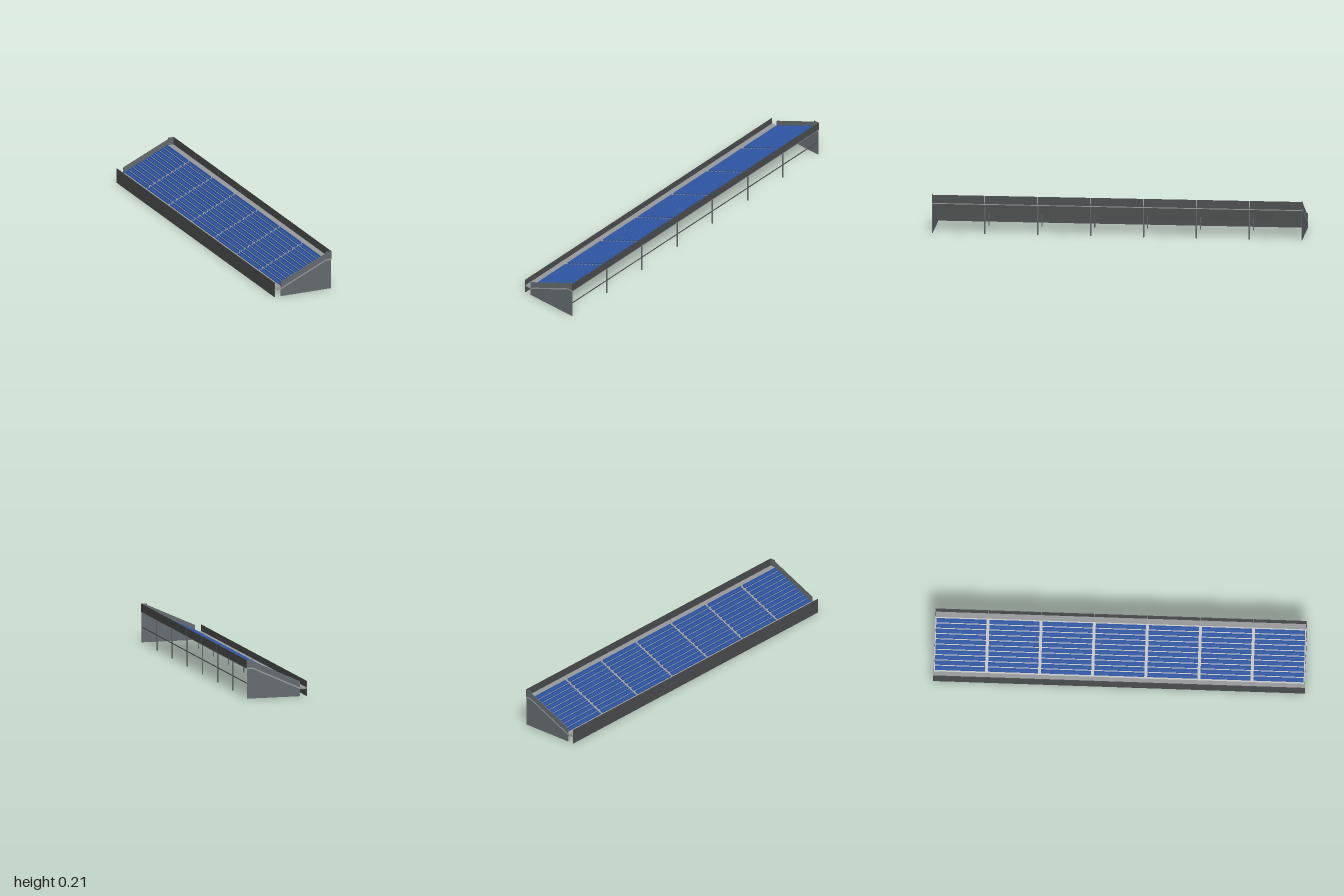
import * as THREE from 'three';

export function createModel() {
  const mat = (name, color) => {
    const m = new THREE.MeshStandardMaterial({ color });
    m.name = name;
    return m;
  };
  const concrete = mat('concrete grey', 0x98999a);
  const wallGrey = mat('dark wall grey', 0x4b4d4e);
  const panelGrey = mat('slate panel grey', 0x646a6e);
  const seatBlue = mat('seat blue', 0x2f57a6);

  const root = new THREE.Group();
  root.name = 'grandstand';
  const stand = new THREE.Group();
  stand.name = 'stand';
  stand.rotation.y = -0.061; // the stand is turned slightly in plan
  root.add(stand);

  const L = 1.982, HALF_W = 0.167, BLOCKS = 7, PITCH = L / BLOCKS;
  const SLOPE = 0.121 / 0.265, LOW = -0.13, HIGH = 0.135;

  const add = (name, geo, material, x = 0, y = 0, z = 0) => {
    const m = new THREE.Mesh(geo, material);
    m.name = name;
    m.position.set(x, y, z);
    stand.add(m);
    return m;
  };
  const box = (name, material, w, h, d, x, y, z) =>
    add(name, new THREE.BoxGeometry(w, h, d), material, x, y, z);
  // extrude a cross-section along the stand, centred on z
  const prism = (points, depth) => {
    const shape = new THREE.Shape(points.map(p => new THREE.Vector2(p[0], p[1])));
    return new THREE.ExtrudeGeometry(shape, { depth, bevelEnabled: false }).translate(0, 0, -depth / 2);
  };

  // sloping deck with a flat walkway at the bottom and top
  add('deck', prism([
    [-HALF_W, 0.039], [LOW, 0.039], [HIGH, 0.16], [HALF_W, 0.16],
    [HALF_W, 0.168], [HIGH, 0.168], [LOW, 0.047], [-HALF_W, 0.047],
  ], L), concrete);

  // end panels, just inside the deck ends
  const panel = prism([
    [LOW, 0], [0.165, 0], [0.165, 0.209], [HIGH, 0.209], [HIGH, 0.201], [LOW, 0.081],
  ], 0.003);
  for (const s of [-1, 1]) add('endPanel', panel, panelGrey, 0, 0, s * (L / 2 - 0.0022));

  // low front wall
  box('frontWall', wallGrey, 0.003, 0.081, L, -HALF_W + 0.0005, 0.0405, 0);

  // rear parapet, one panel per seating block with narrow joints
  for (let b = 0; b < BLOCKS; b++) {
    const z = (b - (BLOCKS - 1) / 2) * PITCH;
    box('rearParapet', wallGrey, 0.003, 0.044, PITCH - 0.003, HALF_W - 0.0005, 0.187, z);
  }

  // seat rows: a pad with a short backrest, repeated in every block
  const ROWS = 10, STEP = (HIGH - LOW - 0.008) / ROWS;
  const bench = prism([
    [0, 0], [0.018, 0], [0.02, 0.013], [0.0165, 0.013], [0.015, 0.006], [0, 0.006],
  ], PITCH - 0.016);
  for (let b = 0; b < BLOCKS; b++) {
    const z = (b - (BLOCKS - 1) / 2) * PITCH;
    for (let r = 0; r < ROWS; r++) {
      const x = LOW + 0.006 + r * STEP;
      add('seatRow', bench, seatBlue, x, 0.047 + (x - LOW) * SLOPE + 0.004, z);
    }
  }

  // tall rear posts and short inner posts with caps
  const tall = new THREE.CylinderGeometry(0.004, 0.004, 0.161, 8);
  const inner = new THREE.CylinderGeometry(0.003, 0.003, 0.07, 8);
  const cap = new THREE.CylinderGeometry(0.006, 0.005, 0.01, 8);
  for (let i = 1; i < BLOCKS; i++) {
    const z = (i - BLOCKS / 2) * PITCH;
    add('rearPost', tall, panelGrey, 0.161, 0.0805, z);
    add('innerPost', inner, panelGrey, -0.068, 0.035, z);
    add('innerPostCap', cap, panelGrey, -0.068, 0.064, z);
  }

  // horizontal tie rail along the rear posts
  box('tieRail', wallGrey, 0.004, 0.004, L - 0.004, 0.161, 0.081, 0);

  return root;
}
